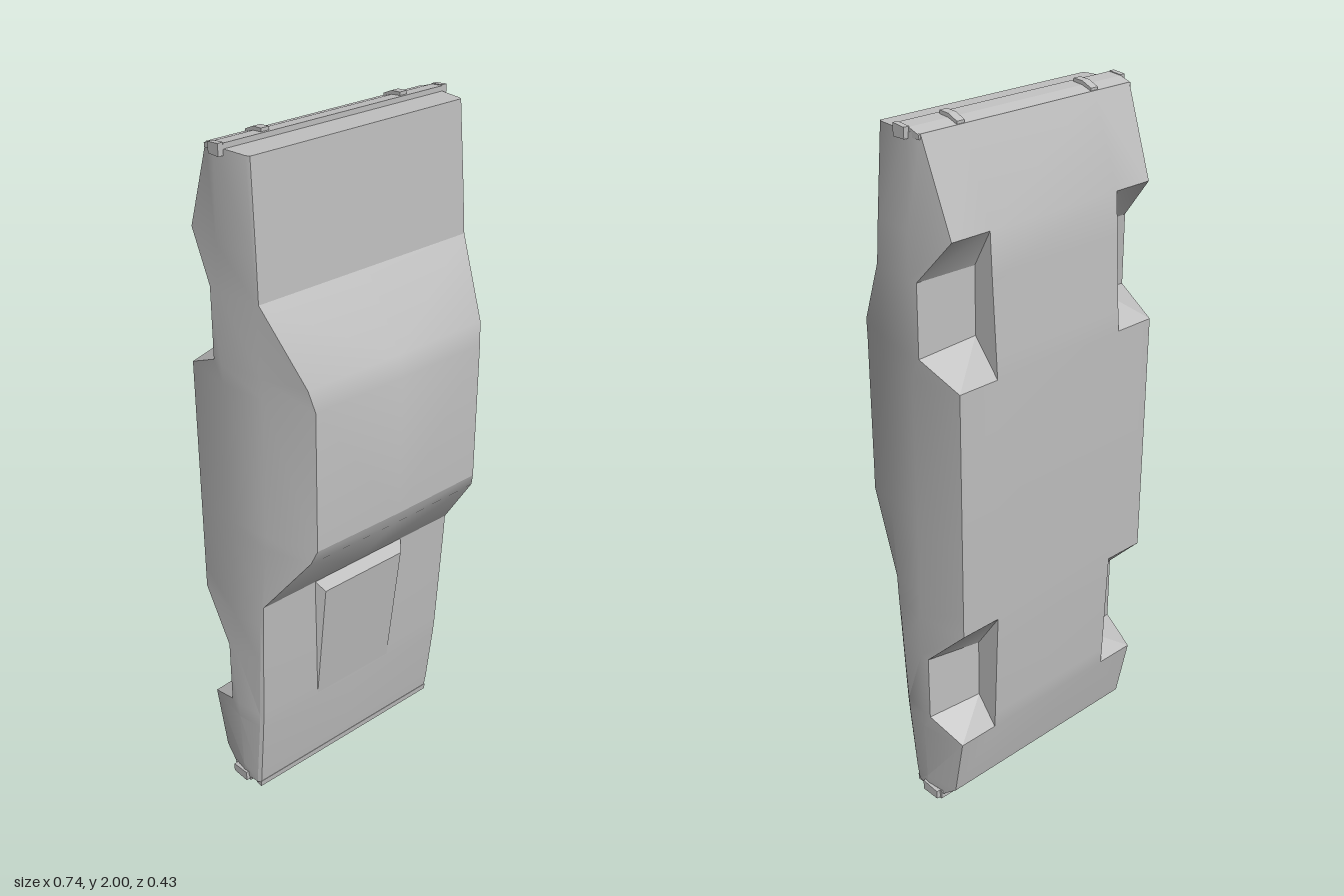
import * as THREE from 'three';
import { toCreasedNormals } from 'three/addons/utils/BufferGeometryUtils.js';

// Non-indexed mesh geometry from triangles, dropping collapsed ones
function fromTriangles(tris) {
  const out = [];
  for (const [a, b, c] of tris) {
    const n = b.clone().sub(a).cross(c.clone().sub(a));
    if (n.length() > 1e-8) for (const p of [a, b, c]) out.push(p.x, p.y, p.z);
  }
  const g = new THREE.BufferGeometry();
  g.setAttribute('position', new THREE.Float32BufferAttribute(out, 3));
  return toCreasedNormals(g, 0.33);
}
const v = (x, y, z) => new THREE.Vector3(x, y, z);

// Sections along the length: top edge, belt line, widest point, underside edge;
// archY marks a wheel arch section (height of the inner end of its ceiling)
const sections = [
  { y: 0.025, top: [0.34, 0.0], belt: [0.347, -0.01], wide: 0.354, low: [0.345, -0.11] },
  { y: 0.07, top: [0.342, 0.006], belt: [0.349, -0.004], wide: 0.358, low: [0.34, -0.163] },
  { y: 0.26, top: [0.345, 0.027], belt: [0.351, 0.017], wide: 0.364, low: [0.343, -0.2] },
  { y: 0.31, top: [0.346, 0.031], belt: [0.352, 0.02], wide: 0.366, low: [0.366, -0.09], archY: 0.34, floor: -0.203 },
  { y: 0.51, top: [0.348, 0.043], belt: [0.353, 0.034], wide: 0.367, low: [0.367, -0.09], archY: 0.52, floor: -0.21 },
  { y: 0.64, top: [0.35, 0.05], belt: [0.353, 0.042], wide: 0.366, low: [0.345, -0.215] },
  { y: 0.71, top: [0.35, 0.054], belt: [0.352, 0.047], wide: 0.365, low: [0.345, -0.215] },
  { y: 0.91, top: [0.3, 0.2], belt: [0.347, 0.07], wide: 0.364, low: [0.345, -0.215] },
  { y: 0.95, top: [0.289, 0.214], belt: [0.346, 0.073], wide: 0.364, low: [0.345, -0.215] },
  { y: 1.36, top: [0.289, 0.214], belt: [0.346, 0.078], wide: 0.364, low: [0.345, -0.215] },
  { y: 1.42, top: [0.301, 0.2], belt: [0.347, 0.078], wide: 0.367, low: [0.367, -0.09], archY: 1.455, floor: -0.211 },
  { y: 1.62, top: [0.35, 0.08], belt: [0.352, 0.07], wide: 0.367, low: [0.367, -0.09], archY: 1.64, floor: -0.197 },
  { y: 1.74, top: [0.347, 0.073], belt: [0.35, 0.063], wide: 0.364, low: [0.341, -0.19] },
  { y: 1.978, top: [0.341, 0.056], belt: [0.346, 0.045], wide: 0.358, low: [0.35, -0.1] },
];

function sectionRing(s) {
  const floor = s.floor ?? s.low[1];
  const half = [
    v(s.top[0], s.y, s.top[1]),
    v(s.belt[0], s.y, s.belt[1]),
    v(s.wide, s.y, -0.06),
    v(s.low[0], s.y, s.low[1]),
    v(0.22, s.archY ?? s.y, s.archY ? -0.135 : floor),
    v(0.22, s.y, floor),
  ];
  const crown = s.top[1] > 0.19 ? 0.004 : 0;
  const mirrored = half.map((p) => v(-p.x, p.y, p.z)).reverse();
  return [v(0, s.y, s.top[1] + crown), ...half, ...mirrored];
}

function bodyGeometry() {
  const rings = sections.map(sectionRing);
  const n = rings[0].length;
  const tris = [];
  for (let i = 0; i < rings.length - 1; i++) {
    for (let j = 0; j < n; j++) {
      const k = (j + 1) % n;
      const [a, b, c, d] = [rings[i][j], rings[i][k], rings[i + 1][k], rings[i + 1][j]];
      // mirror the diagonal so both sides match
      if (j < n / 2) tris.push([a, b, c], [a, c, d]);
      else tris.push([a, b, d], [b, c, d]);
    }
  }
  // end caps
  const first = rings[0], last = rings[rings.length - 1];
  for (let j = 1; j < n - 1; j++) {
    tris.push([first[0], first[j + 1], first[j]], [last[0], last[j], last[j + 1]]);
  }
  return fromTriangles(tris);
}

// Raised wedge on the hood, open underneath
function scoopGeometry() {
  const tip = v(0.14, 0.28, 0.03), ridge = v(0.145, 0.68, 0.077), base = v(0.165, 0.712, 0.053);
  const m = (p) => v(-p.x, p.y, p.z);
  return fromTriangles([
    [m(tip), tip, ridge], [m(tip), ridge, m(ridge)],
    [m(ridge), ridge, base], [m(ridge), base, m(base)],
    [tip, base, ridge], [m(tip), m(ridge), m(base)],
  ]);
}

// Bar across the car from a (z, y) outline
function barGeometry(outline, width) {
  const shape = new THREE.Shape(outline.map(([z, y]) => new THREE.Vector2(-z, y)));
  const g = new THREE.ExtrudeGeometry(shape, { depth: width, bevelEnabled: false });
  return g.translate(0, 0, -width / 2).rotateY(Math.PI / 2);
}

export function createModel() {
  const model = new THREE.Group();
  const paint = new THREE.MeshStandardMaterial({ color: 0xc0c0c0 });
  paint.name = 'greyPaint';
  const add = (name, geometry, x = 0) => {
    const mesh = new THREE.Mesh(geometry, paint);
    mesh.name = name;
    mesh.position.x = x;
    model.add(mesh);
  };

  add('body', bodyGeometry());
  add('hoodScoop', scoopGeometry());

  // nose
  add('noseLip', barGeometry([[0, 0.01], [0.002, 0.03], [-0.022, 0.03], [-0.022, 0.012]], 0.684));
  add('frontBumper', barGeometry(
    [[-0.04, 0.012], [-0.04, 0.045], [-0.112, 0.04], [-0.112, 0.012], [-0.09, 0.004], [-0.06, 0.004]], 0.7));

  // tail
  add('rearBumper', barGeometry(
    [[-0.025, 1.965], [-0.025, 1.992], [-0.065, 1.988], [-0.1, 1.976], [-0.1, 1.965]], 0.71));

  for (const side of [-1, 1]) {
    add('rearBumperEnd', barGeometry(
      [[-0.026, 1.962], [-0.026, 1.994], [-0.065, 1.99], [-0.065, 1.962]], 0.016), side * 0.362);
    add('frontBumperEnd', barGeometry(
      [[-0.045, 0.014], [-0.045, 0.045], [-0.105, 0.04], [-0.105, 0.014]], 0.016), side * 0.354);
    add('rearBumperGuard', barGeometry(
      [[-0.035, 1.98], [-0.035, 2.0], [-0.066, 1.998], [-0.096, 1.985], [-0.096, 1.97]], 0.024), side * 0.224);
    add('frontBumperGuard', barGeometry(
      [[-0.05, 0.02], [-0.1, 0.02], [-0.1, 0.004], [-0.085, 0], [-0.06, 0]], 0.024), side * 0.224);
  }
  return model;
}
